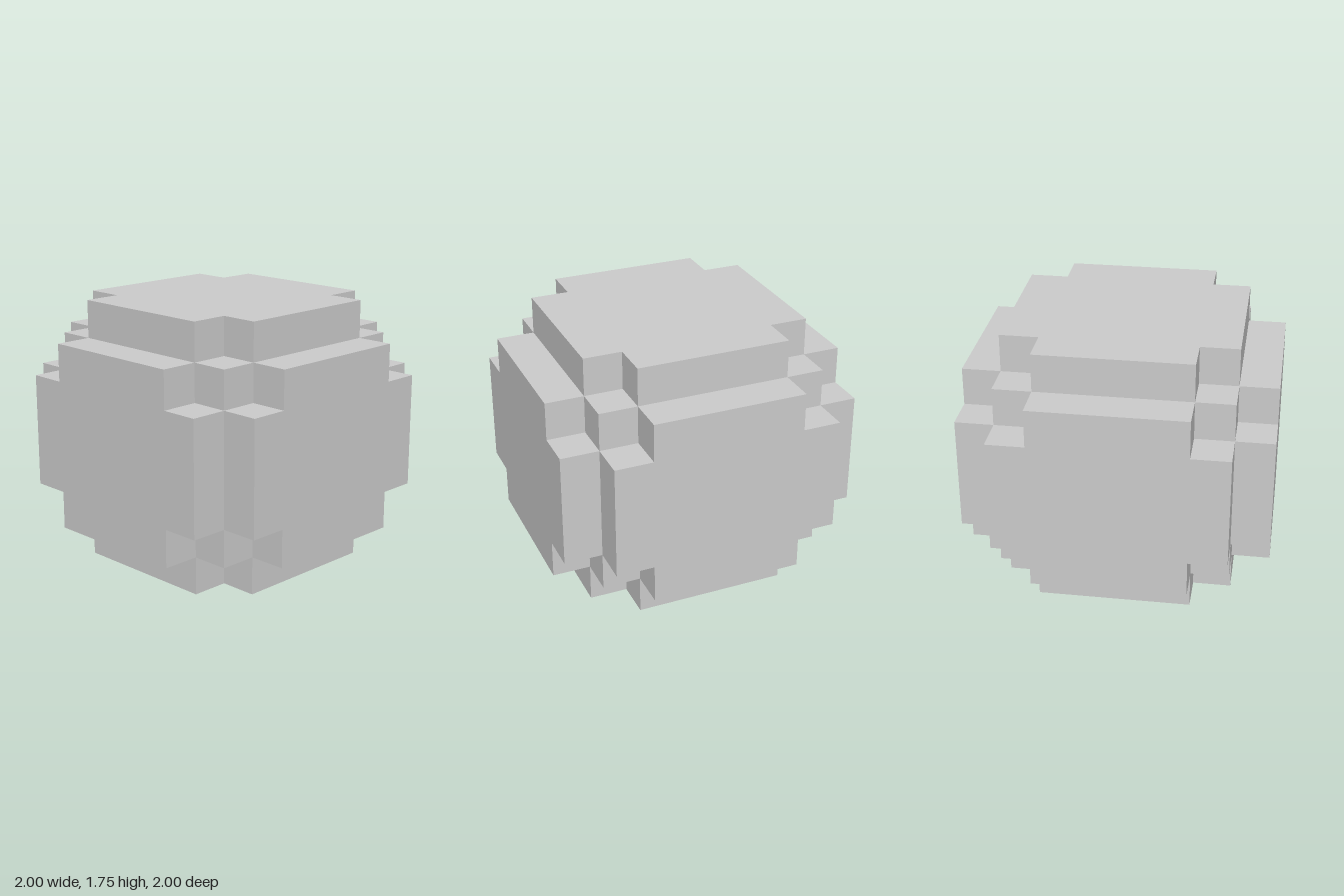
import * as THREE from 'three';

const STEP = 0.25; // size of one block
const WIDTH = 1.5, HEIGHT = 1.25; // core size
const CENTRE_Y = HEIGHT / 2 + STEP;

// One-step-thick plate facing +z, with a square notch in each corner
function plateGeometry(width, height, offset) {
  const x = width / 2, y = height / 2, s = STEP;
  const outline = [
    [-x + s, -y], [x - s, -y], [x - s, -y + s], [x, -y + s],
    [x, y - s], [x - s, y - s], [x - s, y], [-x + s, y],
    [-x + s, y - s], [-x, y - s], [-x, -y + s], [-x + s, -y + s],
  ].map(([px, py]) => new THREE.Vector2(px, py));
  const geometry = new THREE.ExtrudeGeometry(new THREE.Shape(outline), { depth: s, bevelEnabled: false });
  return geometry.translate(0, 0, offset);
}

export function createModel() {
  const model = new THREE.Group();
  model.name = 'blockySphere';
  const material = new THREE.MeshStandardMaterial({ color: 0xcccccc, flatShading: true });

  function add(name, geometry, rx = 0, ry = 0) {
    const mesh = new THREE.Mesh(geometry, material);
    mesh.name = name;
    mesh.rotation.set(rx, ry, 0);
    mesh.position.y = CENTRE_Y;
    model.add(mesh);
  }

  // Solid core, whose corners show in the notches
  add('core', new THREE.BoxGeometry(WIDTH, HEIGHT, WIDTH));

  // Four upright plates around the core
  const upright = plateGeometry(WIDTH, HEIGHT, WIDTH / 2);
  ['frontPlate', 'leftPlate', 'backPlate', 'rightPlate'].forEach((name, i) => {
    add(name, upright, 0, i * Math.PI / 2);
  });

  // Top and bottom plates
  const level = plateGeometry(WIDTH, WIDTH, HEIGHT / 2);
  add('topPlate', level, -Math.PI / 2);
  add('bottomPlate', level, Math.PI / 2);

  return model;
}
